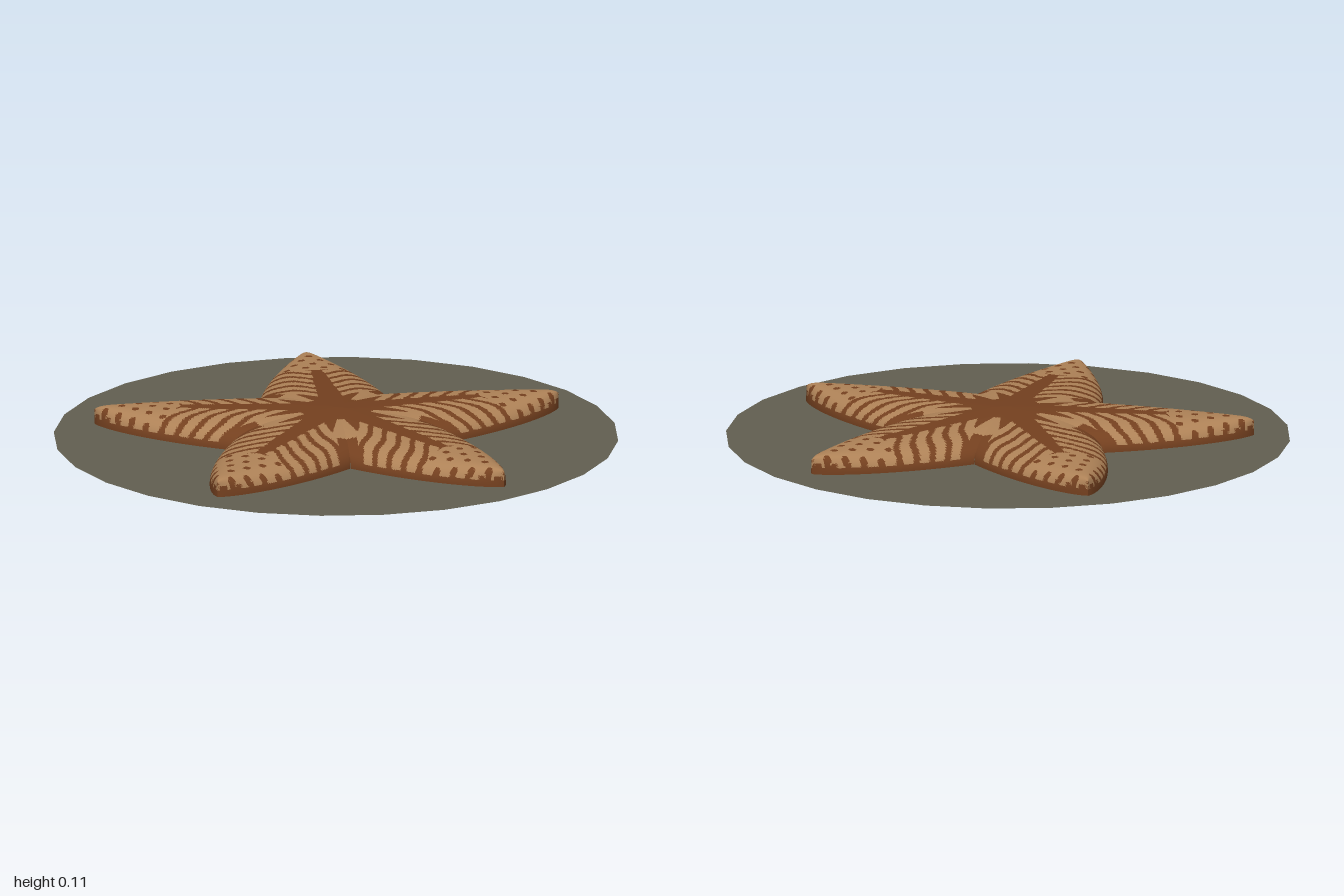
import * as THREE from 'three';

const REACH = 0.87, ROWS = 110, COLS = 90, HALF = Math.PI / 5;

const material = (name, color, side = THREE.FrontSide) => {
  const m = new THREE.MeshStandardMaterial({ color, side });
  m.name = name;
  return m;
};

// Half width and ridge height of an arm at distance d from the centre
const halfWidth = d => 0.27 * Math.pow(Math.max(0, 1 - (d / REACH) ** 2), 0.75);
const ridge = d => (0.114 - 0.042 * d / REACH) * Math.sqrt(Math.max(0, 1 - 0.35 * (d / REACH) ** 50));
// Each arm fills a 72 degree wedge, so neighbours meet in a clean valley
const limit = d => Math.min(halfWidth(d), d * Math.tan(HALF));

// Skin pattern: pale ribs fanning from a dark spine, dotted tips, dark rim
function isPale(d, w, y) {
  const s = Math.abs(w);
  const along = d * Math.cos(HALF) + s * Math.sin(HALF);   // along the valley line
  const off = d * Math.sin(HALF) - s * Math.cos(HALF);     // away from the valley line
  const phase = (d - 0.72 * s + 0.008 * Math.sin(s * 45)) / 0.072;
  const f = phase - Math.floor(phase);
  if (y < (f < 0.6 ? 0.03 : 0.045)) return false;
  if (Math.hypot(d, s) < 0.13) return false;
  if (along < 0.3 && off < 0.05 * (along - 0.08) / 0.2) return true;
  if (off < 0.035 + 0.1 * Math.max(0, 0.3 - along)) return false;
  if (d - 0.3 * s > 0.56) {
    const row = Math.round(d / 0.055);
    const shift = row % 2 ? 0.033 : 0;
    const col = Math.round((w - shift) / 0.066);
    return Math.hypot(d - row * 0.055, w - shift - col * 0.066) > 0.013;
  }
  if (s < 0.018 + 0.035 * Math.max(0, 1 - d / 0.6)) return false;
  return f < 0.62;
}

// Domed top of one arm pointing to +z, its faces sorted into two colours
function armTop() {
  const pos = [], dark = [], pale = [];
  for (let i = 0; i <= ROWS; i++) {
    const d = REACH * i / ROWS, b = limit(d), hw = halfWidth(d);
    for (let j = 0; j <= COLS; j++) {
      const w = b * Math.sin(Math.PI * (j / COLS - 0.5));
      const u = hw > 1e-6 ? Math.min(1, Math.abs(w) / hw) : Math.abs(Math.sin(Math.PI * (j / COLS - 0.5)));
      pos.push(w, ridge(d) * Math.pow(1 - u ** 2.5, 1 / 2.5), d);
    }
  }
  const addFace = (...tri) => {
    const mean = k => tri.reduce((sum, v) => sum + pos[v * 3 + k], 0) / 3;
    (isPale(mean(2), mean(0), mean(1)) ? pale : dark).push(...tri);
  };
  for (let i = 0; i < ROWS; i++) {
    for (let j = 0; j < COLS; j++) {
      const a = i * (COLS + 1) + j, c = a + COLS + 1;
      if (i > 0) addFace(a, c, a + 1);
      addFace(a + 1, c, c + 1);
    }
  }
  const geo = new THREE.BufferGeometry();
  geo.setAttribute('position', new THREE.Float32BufferAttribute(pos, 3));
  geo.setIndex([...dark, ...pale]);
  geo.addGroup(0, dark.length, 0);
  geo.addGroup(dark.length, pale.length, 1);
  geo.computeVertexNormals();
  return geo;
}

// Flat underside of one arm
function armUnderside() {
  const pts = [];
  for (let i = 0; i <= 40; i++) pts.push(new THREE.Vector2(limit(REACH * i / 40), REACH * i / 40));
  for (let i = 39; i > 0; i--) pts.push(new THREE.Vector2(-limit(REACH * i / 40), REACH * i / 40));
  return new THREE.ShapeGeometry(new THREE.Shape(pts)).rotateX(Math.PI / 2);
}

export function createModel() {
  const model = new THREE.Group();
  model.name = 'starfishOnSeabed';
  const brown = material('skinBrown', 0x74401f);
  const tan = material('ribTan', 0xae8257);
  const silt = material('seabedGrey', 0x625f50, THREE.DoubleSide);

  // Seabed disc, just above the underside of the starfish
  const disc = new THREE.Mesh(new THREE.CircleGeometry(1, 28).rotateX(-Math.PI / 2), silt);
  disc.name = 'seabedDisc';
  disc.position.y = 0.006;
  model.add(disc);

  // Five identical arms
  const top = armTop(), under = armUnderside();
  for (let k = 0; k < 5; k++) {
    const arm = new THREE.Group();
    arm.name = `arm${k + 1}`;
    const skin = new THREE.Mesh(top, [brown, tan]);
    skin.name = 'armTop';
    const belly = new THREE.Mesh(under, brown);
    belly.name = 'armUnderside';
    arm.add(skin, belly);
    arm.rotation.y = k * 2 * HALF;
    model.add(arm);
  }
  return model;
}
